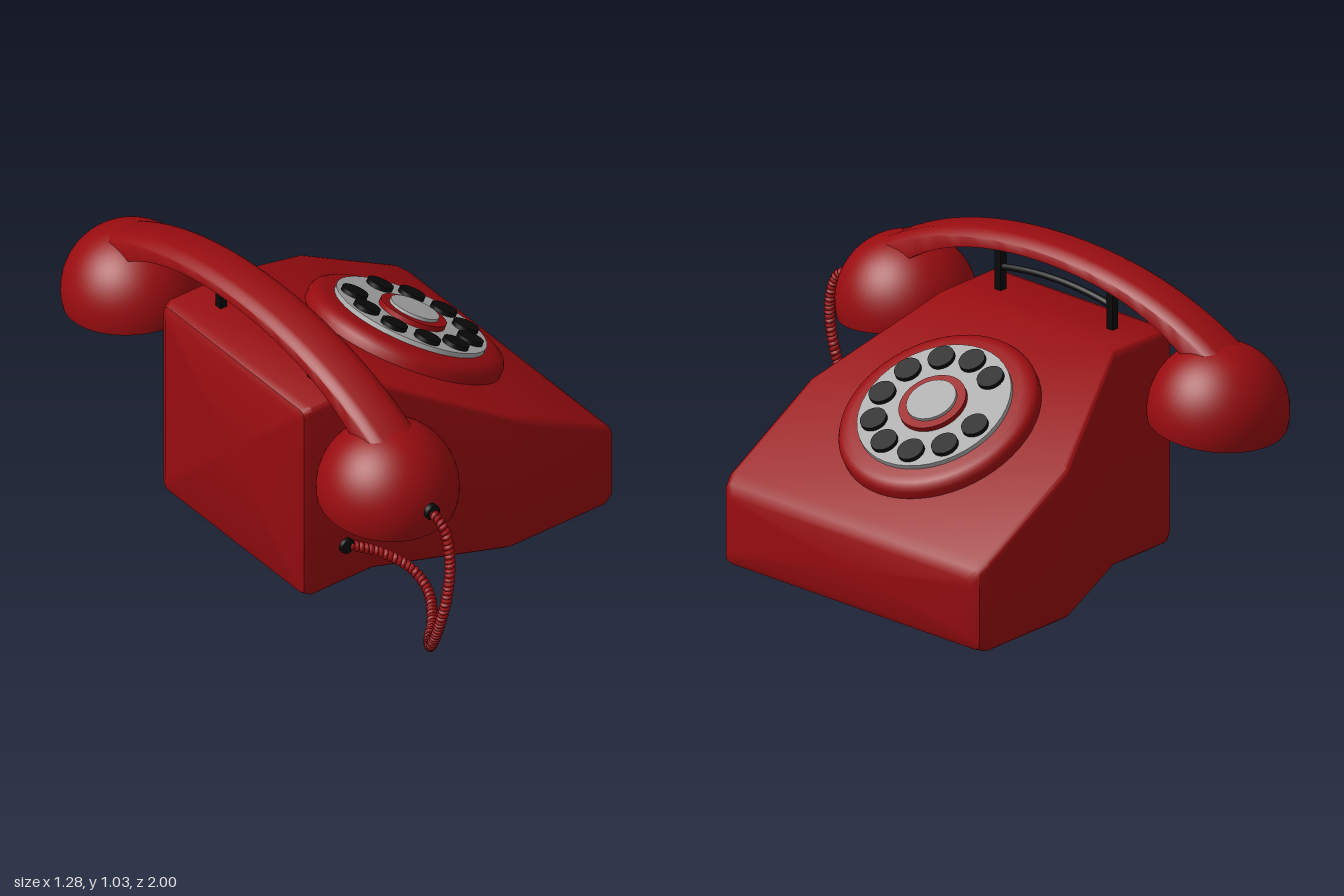
import * as THREE from 'three';
import { toCreasedNormals } from 'three/addons/utils/BufferGeometryUtils.js';

const RED = new THREE.MeshStandardMaterial({ color: 0x980c10 });
const RED_OPEN = new THREE.MeshStandardMaterial({ color: 0x980c10, side: THREE.DoubleSide });
const BLACK = new THREE.MeshStandardMaterial({ color: 0x0a0a0a });
const SILVER = new THREE.MeshStandardMaterial({ color: 0xaaaaaa });
const MID_Z = -0.073; // symmetry plane of body and handset

function add(parent, name, geometry, material, x = 0, y = 0, z = 0) {
  const mesh = new THREE.Mesh(geometry, material);
  mesh.name = name;
  mesh.position.set(x, y, z);
  parent.add(mesh);
  return mesh;
}

// Skin a list of equal-length rings and close both ends
function loft(rings, crease) {
  const n = rings[0].length, pos = [], idx = [];
  rings.forEach(r => r.forEach(p => pos.push(p.x, p.y, p.z)));
  for (let i = 0; i < rings.length - 1; i++) {
    for (let j = 0; j < n; j++) {
      const a = i * n + j, c = i * n + (j + 1) % n;
      idx.push(a, a + n, c, c, a + n, c + n);
    }
  }
  [0, rings.length - 1].forEach((i, end) => {
    const centre = new THREE.Vector3();
    rings[i].forEach(p => centre.addScaledVector(p, 1 / n));
    const c = pos.length / 3;
    pos.push(centre.x, centre.y, centre.z);
    for (let j = 0; j < n; j++) {
      const a = i * n + j, b = i * n + (j + 1) % n;
      if (end) idx.push(c, b, a); else idx.push(c, a, b);
    }
  });
  const g = new THREE.BufferGeometry();
  g.setAttribute('position', new THREE.Float32BufferAttribute(pos, 3));
  g.setIndex(idx);
  return toCreasedNormals(g, crease);
}

// Rounded rectangle, counter-clockwise, as [u, v] pairs
function roundedRect(halfW, bottom, top, r, steps = 3) {
  const pts = [];
  const corners = [[halfW - r, top - r], [r - halfW, top - r], [r - halfW, bottom + r], [halfW - r, bottom + r]];
  corners.forEach(([u, v], q) => {
    for (let k = 0; k <= steps; k++) {
      const t = (q + k / steps) * Math.PI / 2;
      pts.push([u + r * Math.cos(t), v + r * Math.sin(t)]);
    }
  });
  return pts;
}

function bodyGeometry() {
  // x, half width, bottom, top
  const stations = [
    [-0.525, 0.36, 0.07, 0.765], [-0.513, 0.383, 0.043, 0.788], [-0.485, 0.395, 0.03, 0.8],
    [-0.23, 0.395, 0.03, 0.8], [0.2, 0.58, 0.03, 0.57], [0.59, 0.58, 0.03, 0.356],
    [0.625, 0.567, 0.043, 0.328], [0.64, 0.54, 0.07, 0.29],
  ];
  return loft(stations.map(([x, w, b, t]) =>
    roundedRect(w, b, t, 0.025).map(([z, y]) => new THREE.Vector3(x, y, z + MID_Z))), 0.6);
}

function handleGeometry() {
  const rings = [], n = 40;
  for (let i = 0; i <= n; i++) {
    const d = 0.82 - 1.64 * i / n, d2 = d * d;
    const top = 1.04 - 0.27 * d2 - 0.11 * d2 * d2;
    const bottom = 0.98 - 0.3 * d2 - 0.35 * d2 * d2;
    const mid = (top + bottom) / 2, h = (top - bottom) / 2;
    // rounded back, nearly flat grip side
    rings.push(roundedRect(0.088, -1, 1, 0.04, 4).map(([x, v]) => {
      const drop = v > 0 ? 0.03 * Math.pow(Math.abs(x) / 0.088, 3) : 0;
      return new THREE.Vector3(x, mid + v * h - drop, d);
    }));
  }
  return loft(rings, 0.8);
}

function bellGeometry() {
  const pts = [[0.205, 0.014], [0.212, 0], [0.234, 0]].map(p => new THREE.Vector2(...p));
  const start = -0.17;
  for (let i = 1; i <= 22; i++) {
    const t = start + (Math.PI / 2 - start) * i / 22;
    pts.push(new THREE.Vector2(Math.max(0, 0.238 * Math.cos(t)), 0.04 + 0.238 * Math.sin(t)));
  }
  return toCreasedNormals(new THREE.LatheGeometry(pts, 48), 0.6);
}

function grilleGeometry() {
  const shape = new THREE.Shape().absarc(0, 0, 0.212, 0, Math.PI * 2);
  // radius, count, radial and tangential half sizes of the openings
  [[0.172, 18, 0.026, 0.018], [0.115, 18, 0.02, 0.011], [0.065, 12, 0.016, 0.008]].forEach(([r, n, a, b]) => {
    for (let i = 0; i < n; i++) {
      const t = i / n * Math.PI * 2;
      shape.holes.push(new THREE.Path().absellipse(
        r * Math.cos(t), r * Math.sin(t), a, b, 0, Math.PI * 2, false, t));
    }
  });
  const g = new THREE.ExtrudeGeometry(shape, { depth: 0.01, bevelEnabled: false, curveSegments: 10 });
  return g.rotateX(-Math.PI / 2);
}

function buildHandset() {
  const handset = new THREE.Group();
  handset.name = 'handset';
  handset.position.set(-0.405, 0, MID_Z);
  add(handset, 'handle', handleGeometry(), RED);
  const bell = bellGeometry(), grille = grilleGeometry();
  [['mouthpiece', 1], ['earpiece', -1]].forEach(([name, s]) => {
    const cup = new THREE.Group();
    cup.name = name;
    cup.position.set(0, 0.585, s * 0.692);
    cup.rotation.x = s * 0.11;
    add(cup, name + 'Bell', bell, RED_OPEN);
    add(cup, name + 'Grille', grille, RED, 0, 0.006, 0);
    handset.add(cup);
  });
  return handset;
}

function buildDial() {
  const dial = new THREE.Group();
  dial.name = 'dial';
  dial.position.set(0.19, 0.575, MID_Z);
  dial.rotation.z = -0.502;
  const disc = (name, r, y0, y1, mat, x = 0, z = 0) =>
    add(dial, name, new THREE.CylinderGeometry(r, r, y1 - y0, 40), mat, x, (y0 + y1) / 2, z);
  const profile = [[0.35, -0.02], [0.35, 0.028], [0.342, 0.043], [0.325, 0.053], [0.3, 0.058], [0, 0.058]];
  add(dial, 'dialBase', toCreasedNormals(
    new THREE.LatheGeometry(profile.map(p => new THREE.Vector2(...p)), 56), 0.6), RED);
  disc('dialPlate', 0.27, 0.05, 0.075, SILVER);
  for (let i = 0; i < 10; i++) {
    const t = THREE.MathUtils.degToRad(-83 + 33.2 * i);
    disc('fingerHole', 0.046, 0.07, 0.09, BLACK, 0.208 * Math.cos(t), 0.208 * Math.sin(t));
  }
  disc('dialHub', 0.118, 0.07, 0.093, RED);
  disc('dialCentre', 0.087, 0.09, 0.104, SILVER);
  return dial;
}

function buildCradle() {
  const cradle = new THREE.Group();
  cradle.name = 'cradle';
  cradle.position.set(-0.375, 0, MID_Z);
  for (const s of [1, -1]) {
    add(cradle, 'cradlePost', new THREE.BoxGeometry(0.028, 0.185, 0.028), BLACK, 0, 0.877, s * 0.25);
  }
  const arc = new THREE.QuadraticBezierCurve3(
    new THREE.Vector3(0, 0.88, 0.25), new THREE.Vector3(0, 0.93, 0), new THREE.Vector3(0, 0.88, -0.25));
  add(cradle, 'cradleBar', new THREE.TubeGeometry(arc, 16, 0.012, 8), BLACK);
  return cradle;
}

// Coil wound around a sagging path
function cordGeometry() {
  const path = new THREE.CatmullRomCurve3([
    [-0.405, 0.66, 0.85], [-0.403, 0.63, 0.925], [-0.41, 0.53, 0.968], [-0.425, 0.4, 0.976],
    [-0.432, 0.25, 0.94], [-0.405, 0.11, 0.86], [-0.33, 0.037, 0.75], [-0.24, 0.02, 0.65],
    [-0.172, 0.042, 0.54], [-0.175, 0.085, 0.46], [-0.24, 0.14, 0.39], [-0.35, 0.185, 0.31],
  ].map(p => new THREE.Vector3(...p)));
  const turns = 84, n = turns * 10;
  const frames = path.computeFrenetFrames(n);
  const coil = new THREE.CatmullRomCurve3(path.getSpacedPoints(n).map((p, i) => {
    const t = i / 10 * Math.PI * 2;
    return p.addScaledVector(frames.normals[i], 0.011 * Math.cos(t))
      .addScaledVector(frames.binormals[i], 0.011 * Math.sin(t));
  }));
  coil.arcLengthDivisions = 2500;
  return new THREE.TubeGeometry(coil, 1100, 0.0085, 6);
}

export function createModel() {
  const phone = new THREE.Group();
  phone.name = 'telephone';
  add(phone, 'body', bodyGeometry(), RED);
  phone.add(buildHandset(), buildDial(), buildCradle());
  add(phone, 'cord', cordGeometry(), RED);
  // Grommets where the cord enters the handset and the body
  const grommet = new THREE.CylinderGeometry(0.027, 0.027, 0.04, 20).rotateX(Math.PI / 2);
  add(phone, 'handsetGrommet', grommet, BLACK, -0.405, 0.66, 0.853);
  add(phone, 'bodyGrommet', grommet, BLACK, -0.35, 0.185, 0.317);
  return phone;
}
